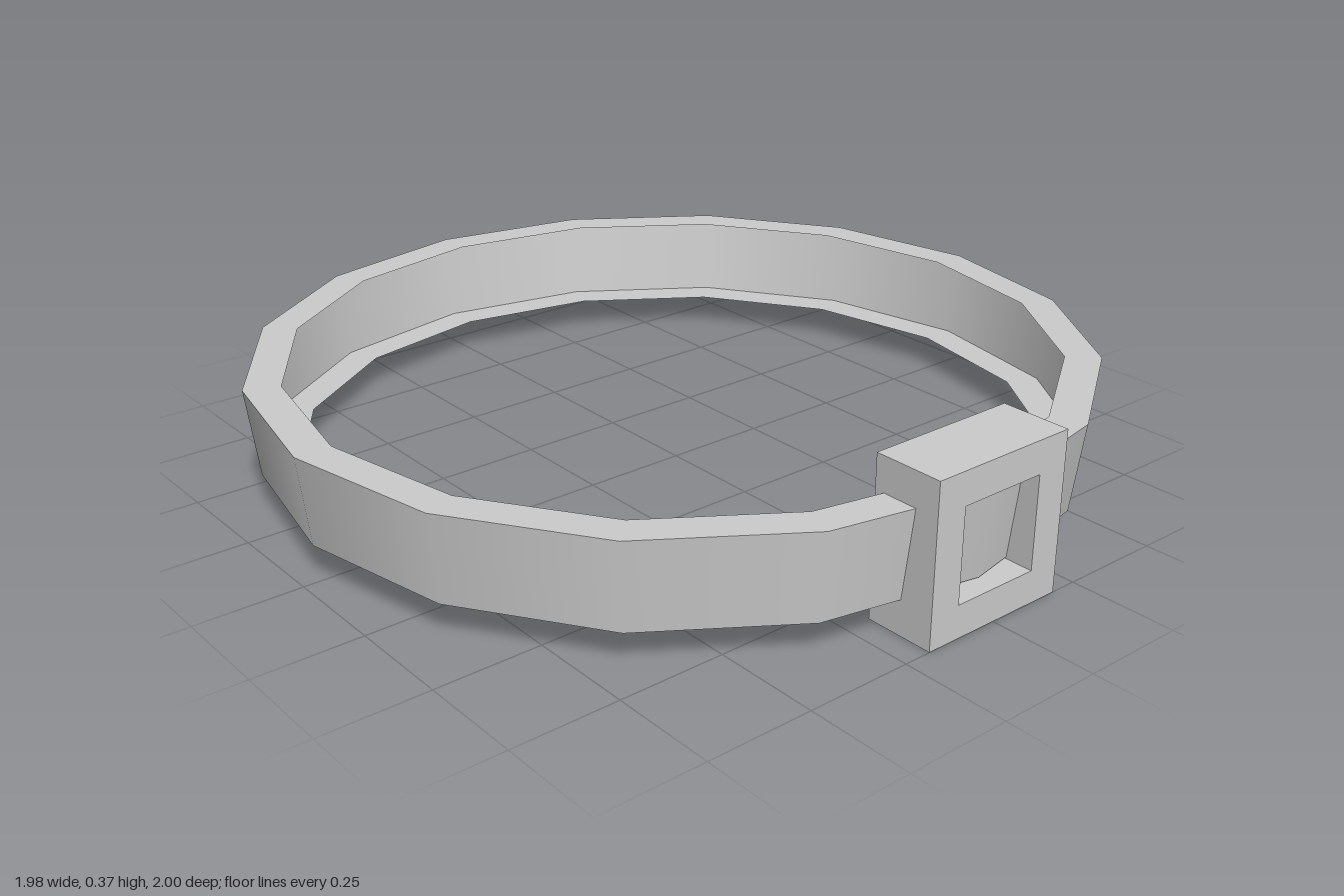
import * as THREE from 'three';

export function createModel() {
  const model = new THREE.Group();
  const grey = new THREE.MeshStandardMaterial({ color: 0xcccccc, side: THREE.DoubleSide });
  grey.name = 'light grey';

  const add = (parent, name, geometry, x = 0, y = 0, z = 0) => {
    const mesh = new THREE.Mesh(geometry, grey);
    mesh.name = name;
    mesh.position.set(x, y, z);
    parent.add(mesh);
    return mesh;
  };

  // Sixteen-sided strap, flaring upwards: a thin channel, open on the inside
  const strap = new THREE.Group();
  strap.name = 'strap';
  strap.position.z = -0.01;
  model.add(strap);
  const profile = [[0.882, 0.083], [0.965, 0.083], [0.99, 0.293], [0.905, 0.293]]
    .map(([r, y]) => new THREE.Vector2(r, y));
  // One lathe per side keeps the rims crisp
  ['strapBottomRim', 'strapBand', 'strapTopRim'].forEach((name, i) => {
    const side = new THREE.LatheGeometry([profile[i], profile[i + 1]], 16);
    side.normalizeNormals();
    add(strap, name, side);
  });

  // Square buckle: thin shell, open at the back, with a square window
  const buckle = new THREE.Group();
  buckle.name = 'buckle';
  buckle.position.set(0, 0.187, 0);
  model.add(buckle);
  const outer = 0.185, inner = 0.108, front = 1, back = 0.835;
  const depth = front - back, middle = (front + back) / 2;

  const square = (path, h) => path.moveTo(-h, -h).lineTo(h, -h).lineTo(h, h).lineTo(-h, h).closePath();
  const face = square(new THREE.Shape(), outer);
  face.holes.push(square(new THREE.Path(), inner));
  add(buckle, 'buckleFace', new THREE.ShapeGeometry(face), 0, 0, front);

  // Four outer walls face outwards, four window walls face into the opening
  for (const [name, h, turn] of [['buckleWall', outer, 1], ['windowWall', inner, -1]]) {
    for (let i = 0; i < 4; i++) {
      const wall = new THREE.PlaneGeometry(depth, 2 * h);
      wall.rotateY(turn * Math.PI / 2).translate(h, 0, middle).rotateZ(i * Math.PI / 2);
      add(buckle, name, wall);
    }
  }
  return model;
}
